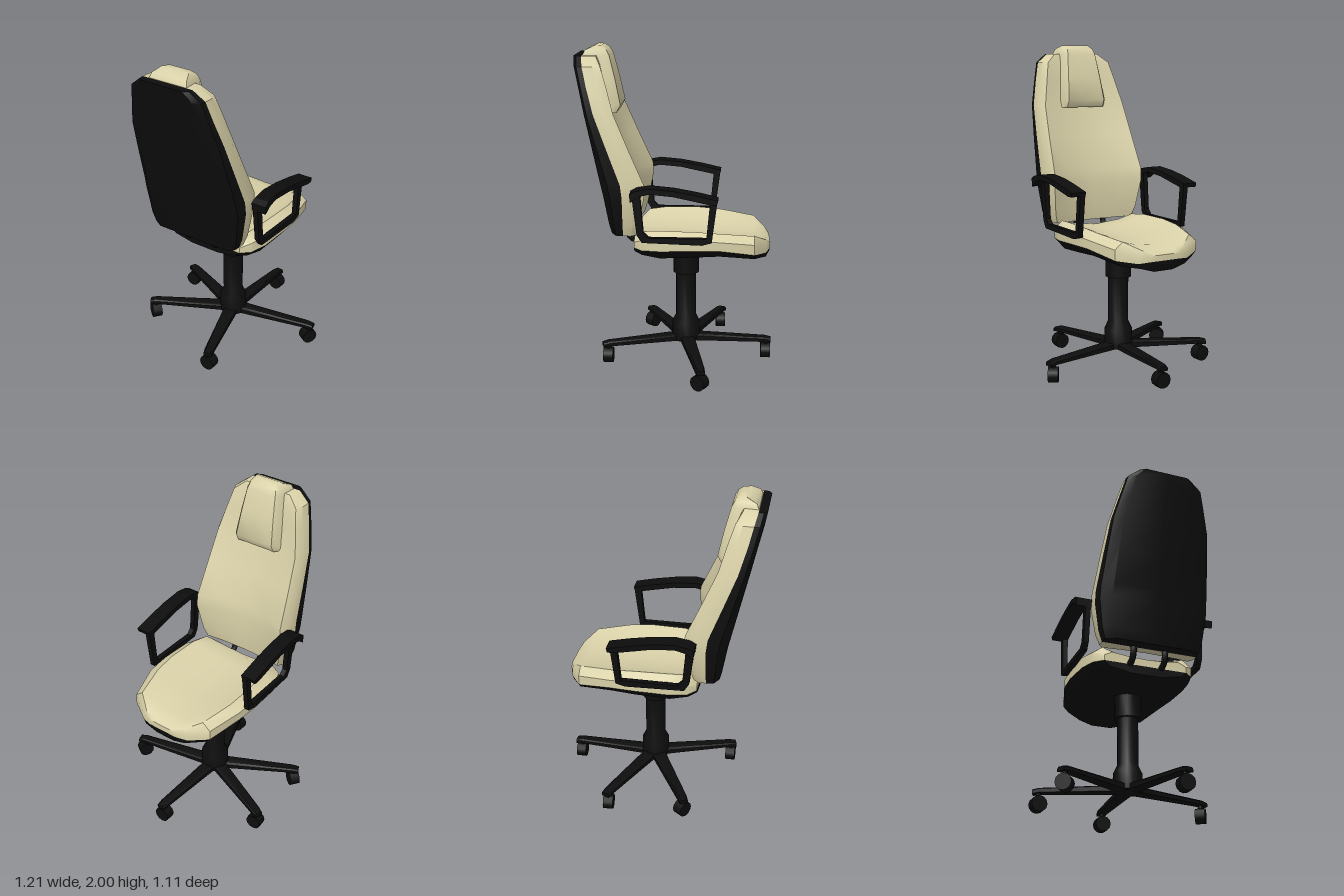
import * as THREE from 'three';
import { toCreasedNormals } from 'three/addons/utils/BufferGeometryUtils.js';

// Skin a list of closed rings (each a list of [x, y, z]) and cap both ends.
function loft(rings, crease = 0.65) {
  const n = rings[0].length, pos = rings.flat(2), idx = [];
  for (let r = 0; r < rings.length - 1; r++) {
    for (let i = 0; i < n; i++) {
      const a = r * n + i, b = r * n + (i + 1) % n;
      idx.push(a, b, a + n, b, b + n, a + n);
    }
  }
  [0, rings.length - 1].forEach((r, end) => {
    const c = [0, 1, 2].map(k => rings[r].reduce((s, p) => s + p[k], 0) / n);
    const ci = pos.length / 3;
    pos.push(...c);
    for (let i = 0; i < n; i++) {
      const a = r * n + i, b = r * n + (i + 1) % n;
      idx.push(...(end ? [a, b, ci] : [b, a, ci]));
    }
  });
  // Turn the faces outwards if the rings ran the other way.
  let volume = 0;
  const v = i => new THREE.Vector3().fromArray(pos, i * 3);
  for (let i = 0; i < idx.length; i += 3) volume += v(idx[i]).dot(v(idx[i + 1]).cross(v(idx[i + 2])));
  if (volume < 0) idx.reverse();
  const g = new THREE.BufferGeometry();
  g.setAttribute('position', new THREE.Float32BufferAttribute(pos, 3));
  g.setIndex(idx);
  return toCreasedNormals(g, crease);
}

// Mirror a half section, running from the edge to the centre line, across z.
const mirrorZ = half => [...half, ...half.slice(0, -1).reverse().map(([x, y, z]) => [x, y, -z])];

function extrude(points, depth) {
  const shape = new THREE.Shape(points.map(p => new THREE.Vector2(...p)));
  return new THREE.ExtrudeGeometry(shape, { depth, bevelEnabled: false });
}

export function createModel() {
  const model = new THREE.Group();
  model.name = 'officeChair';
  const cream = new THREE.MeshStandardMaterial({ color: 0xd9d1a8, side: THREE.DoubleSide });
  cream.name = 'cream leather';
  const black = new THREE.MeshStandardMaterial({ color: 0x0d0d0d, side: THREE.DoubleSide });
  black.name = 'black plastic';

  const chair = new THREE.Group();
  chair.name = 'chair';
  chair.position.z = -0.018;
  model.add(chair);
  const add = (name, geometry, material, parent = chair) => {
    const mesh = new THREE.Mesh(geometry, material);
    mesh.name = name;
    parent.add(mesh);
    return mesh;
  };

  // Seat: x, half width, shoulder y, centre y, seam y, underside y
  const seat = [
    [-0.25, 0.26, 0.86, 0.845, 0.80, 0.745],
    [-0.20, 0.315, 0.905, 0.865, 0.80, 0.73],
    [-0.09, 0.345, 0.916, 0.86, 0.805, 0.705],
    [0.12, 0.355, 0.916, 0.85, 0.815, 0.72],
    [0.27, 0.345, 0.905, 0.848, 0.815, 0.732],
    [0.48, 0.285, 0.88, 0.845, 0.775, 0.712],
    [0.552, 0.17, 0.83, 0.825, 0.757, 0.70],
    [0.577, 0.10, 0.80, 0.80, 0.765, 0.74],
  ];
  add('seatCushion', loft(seat.map(([x, w, ys, yc, ye]) => mirrorZ([
    [x, ye, w], [x, ye + (ys - ye) * 0.6, w], [x, ys, w * 0.82],
    [x, (ys + yc * 2) / 3, w * 0.5], [x, yc, 0],
  ]))), cream);
  add('seatPan', loft(seat.map(([x, w, , , ye, yb]) => mirrorZ([
    [x, ye, w], [x, yb + (ye - yb) * 0.45, w * 0.88], [x, yb, w * 0.38], [x, yb, 0],
  ]))), black);

  // Backrest: y, half width, seam x, rear x, side wing x, centre x
  const back = [
    [0.885, 0.30, -0.31, -0.385, -0.235, -0.255],
    [0.95, 0.322, -0.31, -0.40, -0.215, -0.25],
    [1.13, 0.347, -0.31, -0.43, -0.18, -0.255],
    [1.21, 0.346, -0.32, -0.448, -0.182, -0.27],
    [1.42, 0.33, -0.40, -0.495, -0.275, -0.335],
    [1.62, 0.312, -0.475, -0.54, -0.36, -0.405],
    [1.78, 0.272, -0.52, -0.575, -0.405, -0.44],
    [1.89, 0.243, -0.545, -0.60, -0.44, -0.46],
    [1.945, 0.17, -0.56, -0.61, -0.475, -0.475],
  ];
  add('backCushion', loft(back.map(([y, w, xe, , xw, xc]) => mirrorZ([
    [xe, y, w], [xe + (xw - xe) * 0.6, y, w], [xw, y, w * 0.92],
    [(xw + xc * 2) / 3, y, w * 0.55], [xc, y, 0],
  ]))), cream);
  add('backShell', loft(back.map(([y, w, xe, xb]) => mirrorZ([
    [xe, y, w], [xe + (xb - xe) * 0.6, y, w * 0.98], [xb, y, w * 0.8], [xb, y, 0],
  ]))), black);

  // Headrest pillow: y, half width, rear x, front x
  const pillow = [
    [1.605, 0.155, -0.42, -0.36], [1.65, 0.152, -0.45, -0.336], [1.80, 0.135, -0.50, -0.367],
    [1.94, 0.118, -0.56, -0.402], [1.975, 0.108, -0.545, -0.42], [2.0, 0.085, -0.49, -0.45],
  ];
  add('headrest', loft(pillow.map(([y, w, xb, xf]) => mirrorZ([
    [xb, y, w * 1.1], [xf - 0.03, y, w], [xf, y, w * 0.85], [xf, y, 0],
  ])), 0.8), cream);

  // Curved bars joining the backrest to the seat
  for (const z of [-0.1, 0.1]) {
    const curve = new THREE.CatmullRomCurve3([
      [-0.30, 0.92], [-0.305, 0.86], [-0.28, 0.815], [-0.20, 0.80],
    ].map(([x, y]) => new THREE.Vector3(x, y, z)));
    add('backBracket', new THREE.TubeGeometry(curve, 10, 0.02, 6), black);
  }

  // Armrests: a slim frame carrying a wider top pad
  const padTop = [[-0.255, 1.18], [-0.22, 1.2], [-0.14, 1.215], [0, 1.203], [0.14, 1.178], [0.262, 1.15]];
  const padUnder = [[0.255, 1.125], [0.214, 1.125], [0, 1.17], [-0.14, 1.182], [-0.2, 1.167], [-0.25, 1.13]];
  const frame = [
    [-0.25, 1.17], [-0.22, 0.918], [-0.19, 0.87], [0.167, 0.86], [0.225, 0.876], [0.258, 1.14],
    [0.214, 1.13], [0.193, 0.9], [-0.15, 0.9], [-0.18, 0.93], [-0.2, 1.17],
  ];
  for (const side of [-1, 1]) {
    const arm = new THREE.Group();
    arm.name = side > 0 ? 'leftArmrest' : 'rightArmrest';
    chair.add(arm);
    add('armPad', extrude([...padTop, ...padUnder], 0.095), black, arm).position.z = side > 0 ? 0.348 : -0.443;
    add('armFrame', extrude(frame, 0.032), black, arm).position.z = side > 0 ? 0.35 : -0.382;
  }

  // Gas lift column
  const profile = [
    [0, 0.115], [0.088, 0.115], [0.088, 0.23], [0.064, 0.28], [0.064, 0.57],
    [0.082, 0.57], [0.082, 0.73], [0, 0.73],
  ].map(p => new THREE.Vector2(...p));
  const column = add('column', toCreasedNormals(new THREE.LatheGeometry(profile, 16), 0.6), black);
  column.position.x = 0.054;

  // Five-legged base: caster x, z and the heading of its wheel axle
  const casters = [
    [0.567, 0.02, 0], [0.165, 0.523, 2.13], [-0.432, 0.158, 0],
    [-0.2, -0.464, 0.62], [0.267, -0.484, -0.07],
  ];
  for (const [x, z, heading] of casters) {
    const dx = x - 0.054, length = Math.hypot(dx, z) + 0.035;
    const leg = add('baseLeg', loft([
      [0, 0.045, 0.112, 0.152], [length - 0.04, 0.03, 0.115, 0.143], [length, 0.026, 0.108, 0.135],
    ].map(([d, w, lo, hi]) => [
      [d, lo, w], [d, hi - 0.008, w], [d, hi, w * 0.7],
      [d, hi, -w * 0.7], [d, hi - 0.008, -w], [d, lo, -w],
    ])), black);
    leg.position.x = 0.054;
    leg.rotation.y = -Math.atan2(z, dx);

    const caster = new THREE.Group();
    caster.name = 'caster';
    caster.position.set(x, 0, z);
    caster.rotation.y = -heading;
    chair.add(caster);
    add('casterStem', new THREE.CylinderGeometry(0.015, 0.015, 0.07, 8), black, caster).position.y = 0.09;
    const wheel = add('casterWheel', new THREE.CylinderGeometry(0.049, 0.049, 0.062, 12), black, caster);
    wheel.rotation.z = Math.PI / 2;
    wheel.position.y = 0.049;
  }
  return model;
}
